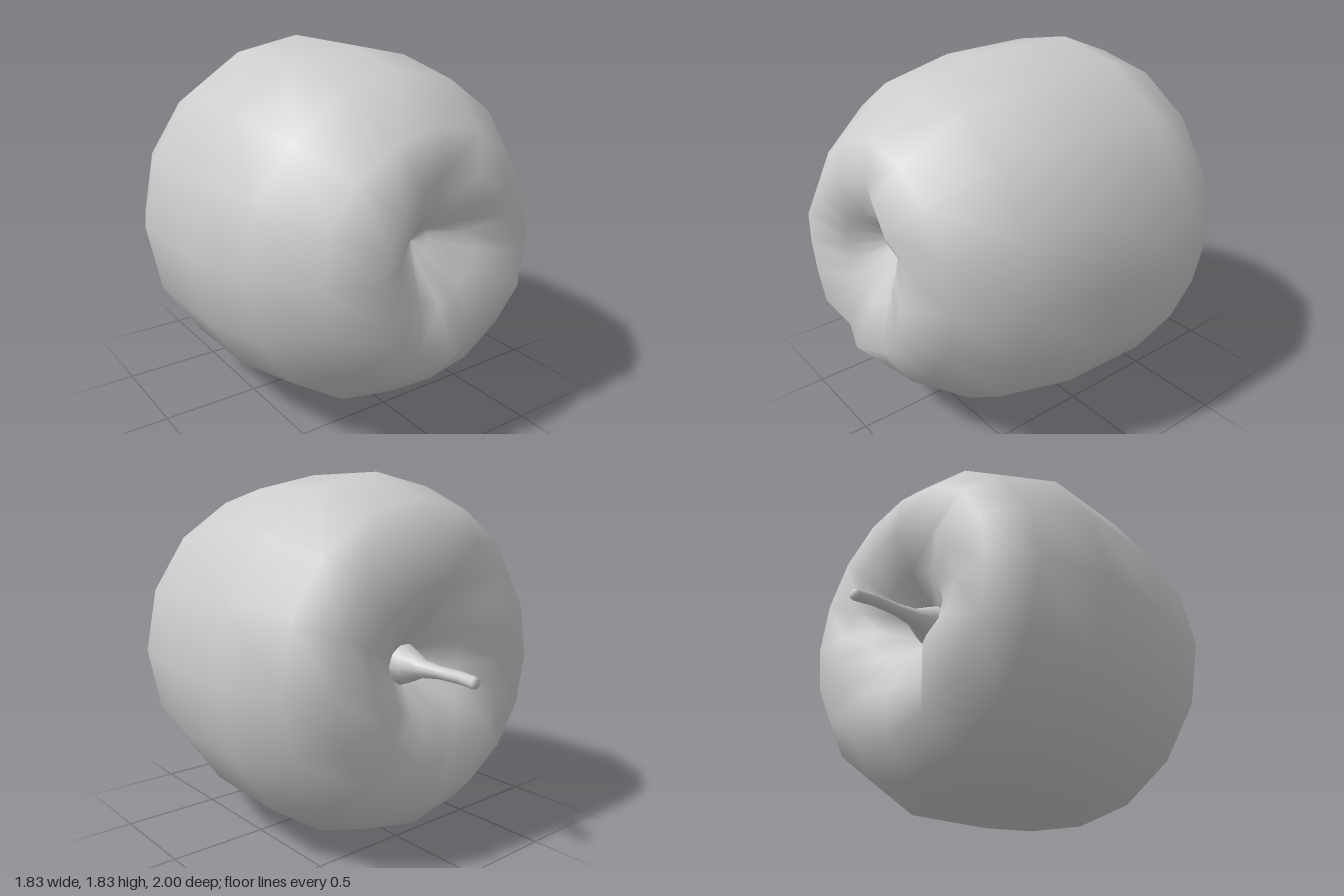
import * as THREE from 'three';

const MID = 0.92; // height of the fruit's axis, which runs along z

// Skin a list of rings (ordered from +z to -z); each ring is a function of the side index.
function loft(rings, sides) {
  const pos = [], index = [];
  for (const ring of rings) for (let j = 0; j < sides; j++) pos.push(...ring(j, j / sides * Math.PI * 2));
  for (let i = 0; i < rings.length - 1; i++) {
    for (let j = 0; j < sides; j++) {
      const k = (j + 1) % sides;
      const a = i * sides + j, b = i * sides + k, c = a + sides, d = b + sides;
      index.push(a, c, b, b, c, d);
    }
  }
  const geo = new THREE.BufferGeometry();
  geo.setAttribute('position', new THREE.Float32BufferAttribute(pos, 3));
  geo.setIndex(index);
  geo.computeVertexNormals();
  return geo;
}

const circle = (z, r, x = 0, y = MID) => (j, t) => [x + r * Math.cos(t), y + r * Math.sin(t), z];

// Uneven rim heights around the blossom end (+z) and the stem end (-z)
const FRONT_RIM = [0.97, 0.91, 0.96, 0.93, 0.87, 0.93, 0.98, 1, 0.99, 0.99, 1, 0.95, 1, 0.94, 0.95, 1];
const BACK_RIM = [0.78, 0.72, 0.77, 0.79, 0.79, 0.70, 0.78, 0.79, 0.77, 0.78, 0.83, 0.71, 0.79, 0.79, 0.79, 0.84];

// A ring whose depth follows a rim table by a given share
const rim = (table, sign, mean, z, r, share, x = 0, y = MID) => (j, t) =>
  [x + r * Math.cos(t), y + r * Math.sin(t), z + sign * (table[j] - mean) * share];

export function createModel() {
  const group = new THREE.Group();
  const grey = new THREE.MeshStandardMaterial({ color: 0xcccccc, side: THREE.DoubleSide });

  // Fruit: blossom hollow, rim, rounded flanks, rim, stem hollow
  const fruit = new THREE.Mesh(loft([
    circle(0.7, 0.001, -0.03, 0.98),
    circle(0.74, 0.08, -0.03, 0.98),
    rim(FRONT_RIM, 1, 0.96, 0.87, 0.22, 0.5, -0.01, 0.94),
    rim(FRONT_RIM, 1, 0.96, 0.96, 0.42, 1),
    circle(0.84, 0.61),
    circle(0.56, 0.82),
    circle(0.17, 0.905),
    circle(-0.32, 0.917),
    circle(-0.62, 0.80),
    circle(-0.77, 0.64),
    rim(BACK_RIM, -1, 0.78, -0.78, 0.43, 1),
    rim(BACK_RIM, -1, 0.78, -0.68, 0.24, 0.5),
    circle(-0.54, 0.11),
    circle(-0.5, 0.001),
  ], 16), grey);
  fruit.name = 'fruit';
  group.add(fruit);

  // Stem: flared foot, slight bend, closed rounded tip
  const stem = new THREE.Mesh(loft([
    circle(-0.5, 0.12),
    circle(-0.58, 0.085),
    circle(-0.66, 0.045, -0.005),
    circle(-0.76, 0.031, -0.01),
    circle(-0.89, 0.03, -0.012),
    circle(-0.985, 0.03, 0.01),
    circle(-1, 0.024, 0.013),
    circle(-1, 0.001, 0.013),
  ], 10), grey);
  stem.name = 'stem';
  group.add(stem);

  return group;
}
